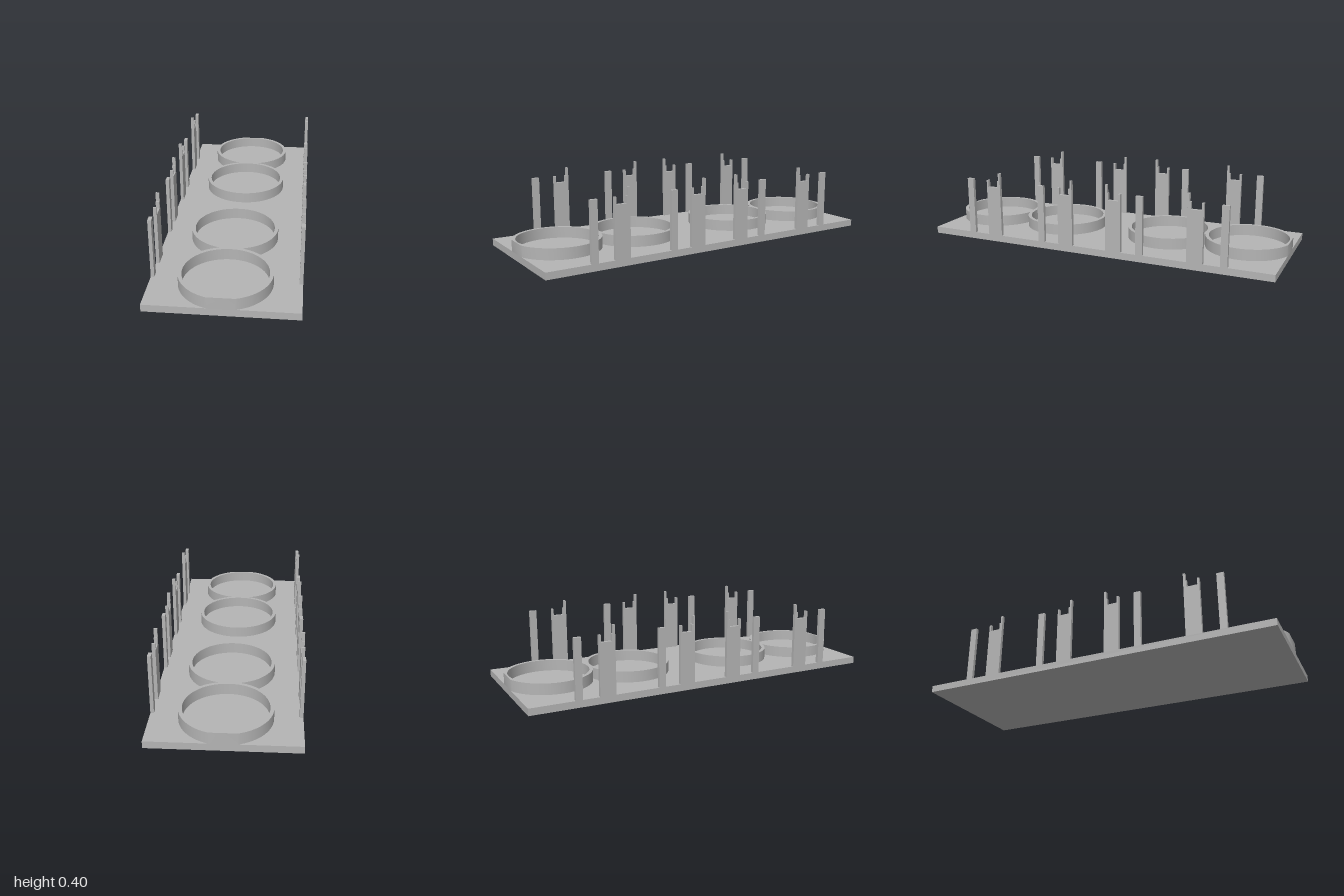
import * as THREE from 'three';
import { toCreasedNormals } from 'three/addons/utils/BufferGeometryUtils.js';

const BASE = 0.0375;      // plate thickness
const HALF_W = 0.375;     // half plate width
const POST_T = 0.018;     // post thickness

// Round cup holder wall; clip cuts the outer circle flat at that distance from its centre
function ringGeometry(clip) {
  const R = 0.233, r = 0.214, height = 0.0605;
  const shape = new THREE.Shape();
  const a = clip < R ? Math.asin(clip / R) : Math.PI / 2;
  shape.absarc(0, 0, R, Math.PI - a, 2 * Math.PI + a, false);
  shape.closePath();
  const hole = new THREE.Path();
  hole.absarc(0, 0, r, 0, Math.PI * 2, true);
  shape.holes.push(hole);
  const geo = new THREE.ExtrudeGeometry(shape, { depth: height, bevelEnabled: false, curveSegments: 64 });
  geo.rotateX(-Math.PI / 2);
  return toCreasedNormals(geo, 0.5);
}

// Upright plate from a (z, y) outline, standing at the +x edge
function postGeometry(points) {
  const shape = new THREE.Shape(points.map(([z, y]) => new THREE.Vector2(z, y)));
  const geo = new THREE.ExtrudeGeometry(shape, { depth: POST_T, bevelEnabled: false });
  geo.rotateY(-Math.PI / 2);
  geo.translate(HALF_W, 0, 0);
  return geo;
}

export function createModel() {
  const group = new THREE.Group();
  const grey = new THREE.MeshStandardMaterial({ color: 0xb4b4b4 });
  grey.name = 'grey';
  const add = (name, geo) => {
    const mesh = new THREE.Mesh(geo, grey);
    mesh.name = name;
    group.add(mesh);
    return mesh;
  };

  // Base plate
  add('basePlate', new THREE.BoxGeometry(HALF_W * 2, BASE, 2)).position.y = BASE / 2;

  for (const s of [-1, 1]) {
    // Rings, the outer ones cut off flush with the plate end
    for (const [name, z] of [['innerRing', 0.325], ['outerRing', 0.777]]) {
      const ring = add(name, ringGeometry(1 - z));
      ring.position.set(0, BASE, s * z);
      if (s > 0) ring.rotation.y = Math.PI;
    }

    for (const side of [-1, 1]) {
      const shift = side > 0 ? 0 : POST_T - 2 * HALF_W;
      // Plain narrow posts
      for (const z of [0.2705, 0.7245]) {
        const w = 0.038;
        add('narrowPost', postGeometry([
          [s * z, BASE], [s * (z + w), BASE], [s * (z + w), 0.353], [s * z, 0.353],
        ])).position.x = shift;
      }
      // Wide posts with a notch and a stepped prong on the side nearer the middle
      for (const z of [0.0985, 0.548]) {
        const outline = [
          [0, BASE], [0.086, BASE], [0.086, 0.353], [0.075, 0.353], [0.075, 0.315],
          [0.0185, 0.315], [0.0185, 0.353], [0.011, 0.353], [0.011, 0.397], [0, 0.397],
        ];
        add('notchedPost', postGeometry(outline.map(([d, y]) => [s * (z + d), y]))).position.x = shift;
      }
    }
  }
  return group;
}
